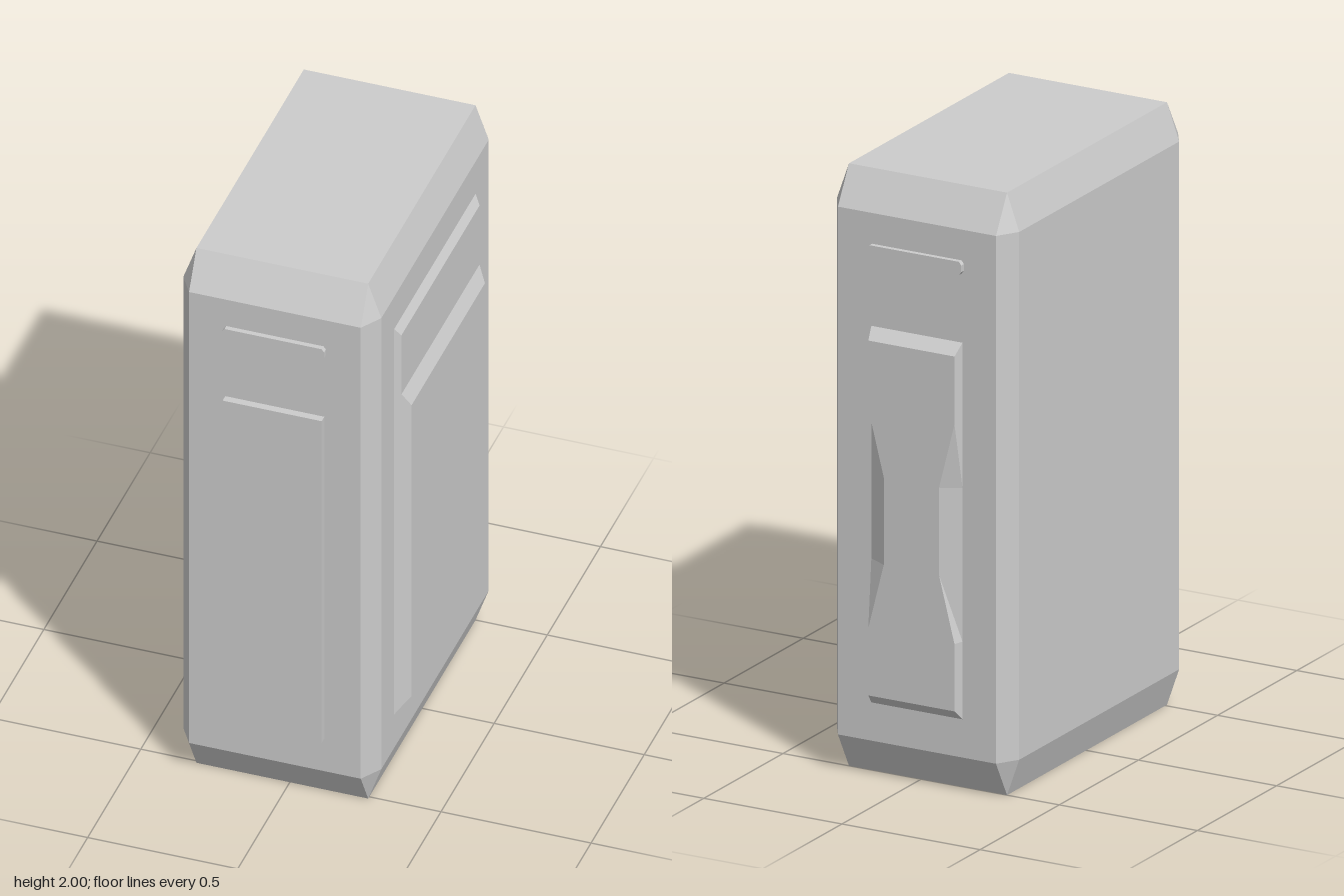
import * as THREE from 'three';

const material = new THREE.MeshStandardMaterial({ color: 0xcccccc, flatShading: true });

// Faceted solid through rings [height, [[u, v], ...]], counter-clockwise seen from +z, capped at both ends.
function loft(rings) {
  const pos = [];
  const pts = rings.map(([h, ring]) => ring.map(([u, v]) => new THREE.Vector3(u, v, h)));
  const tri = (a, b, c) => {
    if (new THREE.Triangle(a, b, c).getArea() < 1e-7) return;
    for (const p of [a, b, c]) pos.push(p.x, p.y, p.z);
  };
  const n = pts[0].length;
  const centre = (ring) => ring.reduce((s, p) => s.add(p), new THREE.Vector3()).divideScalar(n);
  const first = pts[0], last = pts[pts.length - 1];
  const c0 = centre(first), c1 = centre(last);
  for (let i = 0; i < n; i++) {
    const j = (i + 1) % n;
    for (let k = 0; k + 1 < pts.length; k++) {
      tri(pts[k][i], pts[k][j], pts[k + 1][j]);
      tri(pts[k][i], pts[k + 1][j], pts[k + 1][i]);
    }
    tri(c0, first[j], first[i]);
    tri(c1, last[i], last[j]);
  }
  const g = new THREE.BufferGeometry();
  g.setAttribute('position', new THREE.Float32BufferAttribute(pos, 3));
  g.computeVertexNormals();
  return g;
}

const rect = (u0, u1, v0, v1) => [[u0, v0], [u1, v0], [u1, v1], [u0, v1]];

// Octagon of half sizes a, b whose flat sides have half lengths ai, bi
const octagon = (a, b, ai, bi) => [
  [-ai, -b], [ai, -b], [a, -bi], [a, bi], [ai, b], [-ai, b], [-a, bi], [-a, -bi],
];

export function createModel() {
  const group = new THREE.Group();
  const add = (name, geometry) => {
    const mesh = new THREE.Mesh(geometry, material);
    mesh.name = name;
    group.add(mesh);
    return mesh;
  };
  const cx = -0.025;

  // Case with every edge chamfered
  const cap = octagon(0.286, 0.505, 0.286, 0.505);
  const wall = octagon(0.33, 0.575, 0.286, 0.505);
  const body = loft([[0, cap], [0.125, wall], [1.877, wall], [2, cap]]).rotateX(-Math.PI / 2);
  add('case', body).position.set(cx, 0, 0.005);

  // Side cover: shallow step with a thicker lower plate
  const step = loft([
    [0.295, rect(-0.39, 0.377, 0.255, 1.752)],
    [0.305, rect(-0.39, 0.377, 0.255, 1.752)],
    [0.324, rect(-0.375, 0.36, 0.28, 1.722)],
  ]).rotateY(Math.PI / 2);
  add('sideCoverStep', step);
  const plate = loft([
    [0.323, rect(-0.375, 0.36, 0.28, 1.495)],
    [0.35, rect(-0.353, 0.337, 0.312, 1.442)],
  ]).rotateY(Math.PI / 2);
  add('sideCoverPlate', plate);

  // Flat front panel
  const front = add('frontPanel', new THREE.BoxGeometry(0.33, 1.25, 0.035));
  front.position.set(cx, 0.877, 0.588);

  // Back panel, waisted on its outer face
  const outline = (w, waist, y0, y1) => {
    const side = [[w, y0], [w, 0.51], [waist, 0.73], [waist, 1.02], [w, 1.24], [w, y1]];
    return [...side, ...side.map(([u, v]) => [-u, v]).reverse()];
  };
  const back = loft([
    [0.56, outline(0.165, 0.165, 0.252, 1.502)],
    [0.57, outline(0.165, 0.165, 0.252, 1.502)],
    [0.605, outline(0.156, 0.1, 0.287, 1.465)],
  ]).rotateY(Math.PI);
  add('backPanel', back).position.x = cx;

  // Thin bars with clipped ends, front and back
  const barShape = octagon(0.17, 0.022, 0.162, 0.011);
  for (const [name, z, turn] of [['frontBar', 0.573, 0], ['backBar', -0.563, Math.PI]]) {
    const bar = add(name, loft([[0, barShape], [0.024, barShape]]));
    bar.position.set(cx, 1.753, z);
    bar.rotation.y = turn;
  }
  return group;
}
